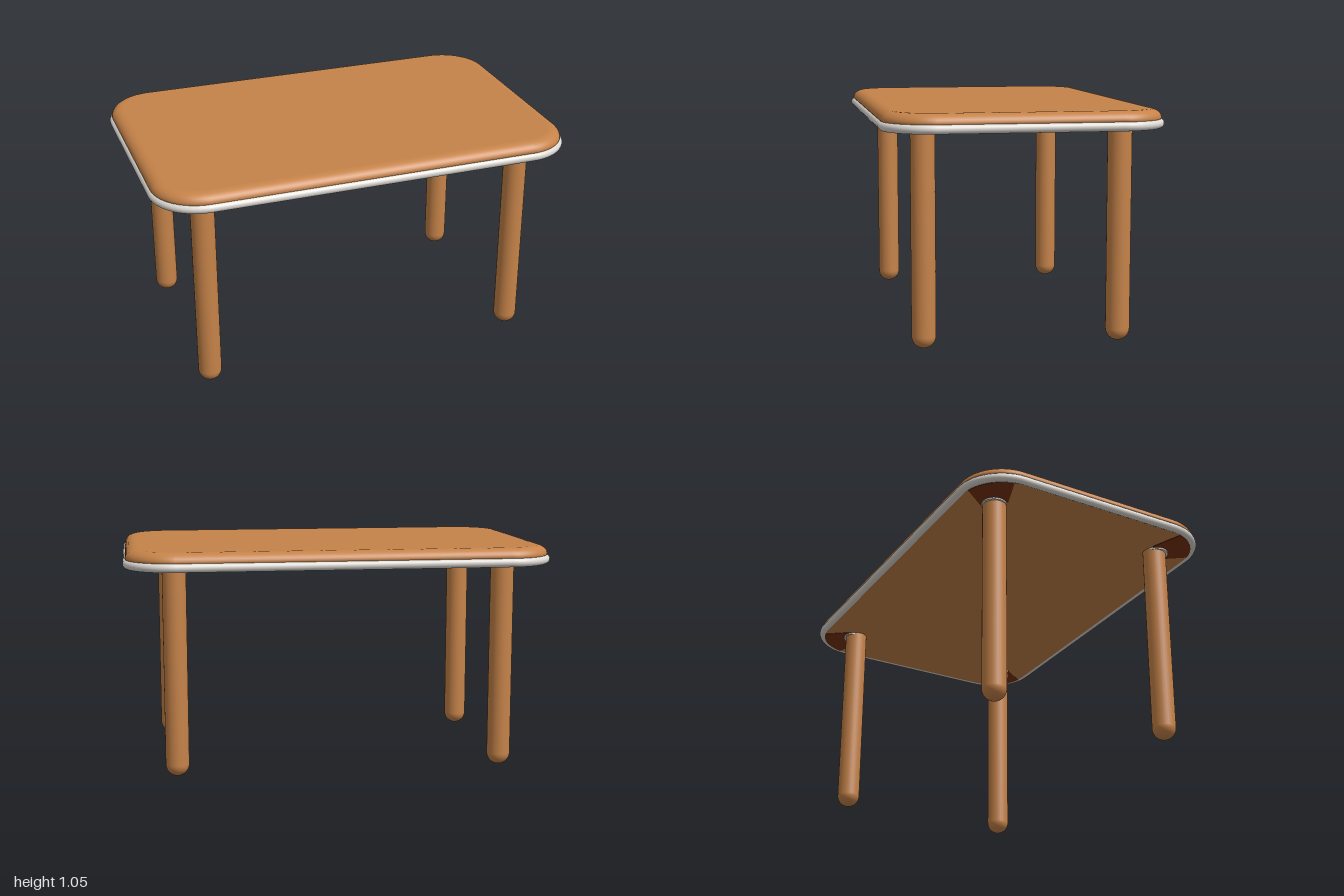
import * as THREE from 'three';

const material = (name, color) => {
  const m = new THREE.MeshStandardMaterial({ color });
  m.name = name;
  return m;
};

// Rounded-rectangle loop in the xz plane, pulled in by inset
function outline(inset, steps = 14) {
  const hx = 1 - inset, hz = 0.637 - inset, r = 0.23 - inset, pts = [];
  const corners = [[1, 1], [-1, 1], [-1, -1], [1, -1]];
  corners.forEach(([sx, sz], q) => {
    for (let i = 0; i <= steps; i++) {
      const a = (q + i / steps) * Math.PI / 2;
      pts.push([sx * (hx - r) + r * Math.cos(a), sz * (hz - r) + r * Math.sin(a)]);
    }
  });
  return pts;
}

// Skin through rings [inset, y, scale], listed from the bottom upwards
function loft(rings) {
  const pos = [], index = [];
  const n = outline(0).length;
  rings.forEach(([inset, y, s = 1]) =>
    outline(inset).forEach(([x, z]) => pos.push(x * s, y, z * s)));
  for (let i = 0; i < rings.length - 1; i++) {
    for (let j = 0; j < n; j++) {
      const a = i * n + j, b = i * n + (j + 1) % n;
      index.push(a, a + n, b, b, a + n, b + n);
    }
  }
  const g = new THREE.BufferGeometry();
  g.setAttribute('position', new THREE.Float32BufferAttribute(pos, 3));
  g.setIndex(index);
  g.computeVertexNormals();
  return g;
}

export function createModel() {
  const group = new THREE.Group();
  const wood = material('warm wood', 0xc68349);
  const trim = material('pale trim', 0xdedad4);
  const dark = material('dark wood', 0x7a330e);
  const add = (name, geometry, mat, parent = group) => {
    const mesh = new THREE.Mesh(geometry, mat);
    mesh.name = name;
    parent.add(mesh);
    return mesh;
  };

  // Tabletop with a rounded upper edge
  const top = [[0.03, 1.0], [0.016, 1.007]];
  for (let i = 0; i <= 8; i++) {
    const a = i / 8 * Math.PI / 2;
    top.push([0.012 + 0.055 * (1 - Math.cos(a)), 1.013 + 0.042 * Math.sin(a)]);
  }
  top.push([0.075, 1.055], [0.075, 1.055, 0]);
  add('tabletop', loft(top), wood);

  // Rounded trim band below the tabletop
  const band = [];
  for (let i = 0; i <= 12; i++) {
    const a = (i / 12 - 0.5) * Math.PI;
    band.push([0.022 * (1 - Math.cos(a)), 0.99 + 0.021 * Math.sin(a)]);
  }
  band.unshift([0.03, 0.974]);
  band.push([0.04, 1.011]);
  add('trimBand', loft(band), trim);

  // Flat underside panel
  add('underside', loft([[0.028, 0.973, 0], [0.028, 0.973]]), wood);

  // Legs with round feet, collars and dark corner plates
  const r = 0.055;
  const profile = [];
  for (let i = 0; i <= 10; i++) {
    const a = i / 10 * Math.PI / 2;
    profile.push(new THREE.Vector2(r * Math.sin(a), r * (1 - Math.cos(a))));
  }
  profile.push(new THREE.Vector2(r, 0.975));
  const legGeometry = new THREE.LatheGeometry(profile, 28);
  const collarGeometry = new THREE.CylinderGeometry(0.058, 0.058, 0.012, 24);

  const arc = outline(0.028).slice(2, 13);
  const plate = new THREE.Shape([
    [0.82, 0.40], ...arc, [0.73, 0.49],
  ].map(([x, z]) => new THREE.Vector2(x, z)));

  for (const sx of [1, -1]) {
    for (const sz of [1, -1]) {
      const leg = add('leg', legGeometry, wood);
      leg.position.set(sx * 0.768, 0, sz * 0.443);
      add('legCollar', collarGeometry, trim).position.set(sx * 0.774, 0.969, sz * 0.449);
      const corner = add('cornerPlate',
        new THREE.ExtrudeGeometry(plate, { depth: 0.004, bevelEnabled: false }), dark);
      corner.geometry.rotateX(Math.PI / 2);
      corner.position.y = 0.9745;
      // Turn or mirror the plate into its corner
      corner.scale.set(sx, 1, sz);
    }
  }
  return group;
}
